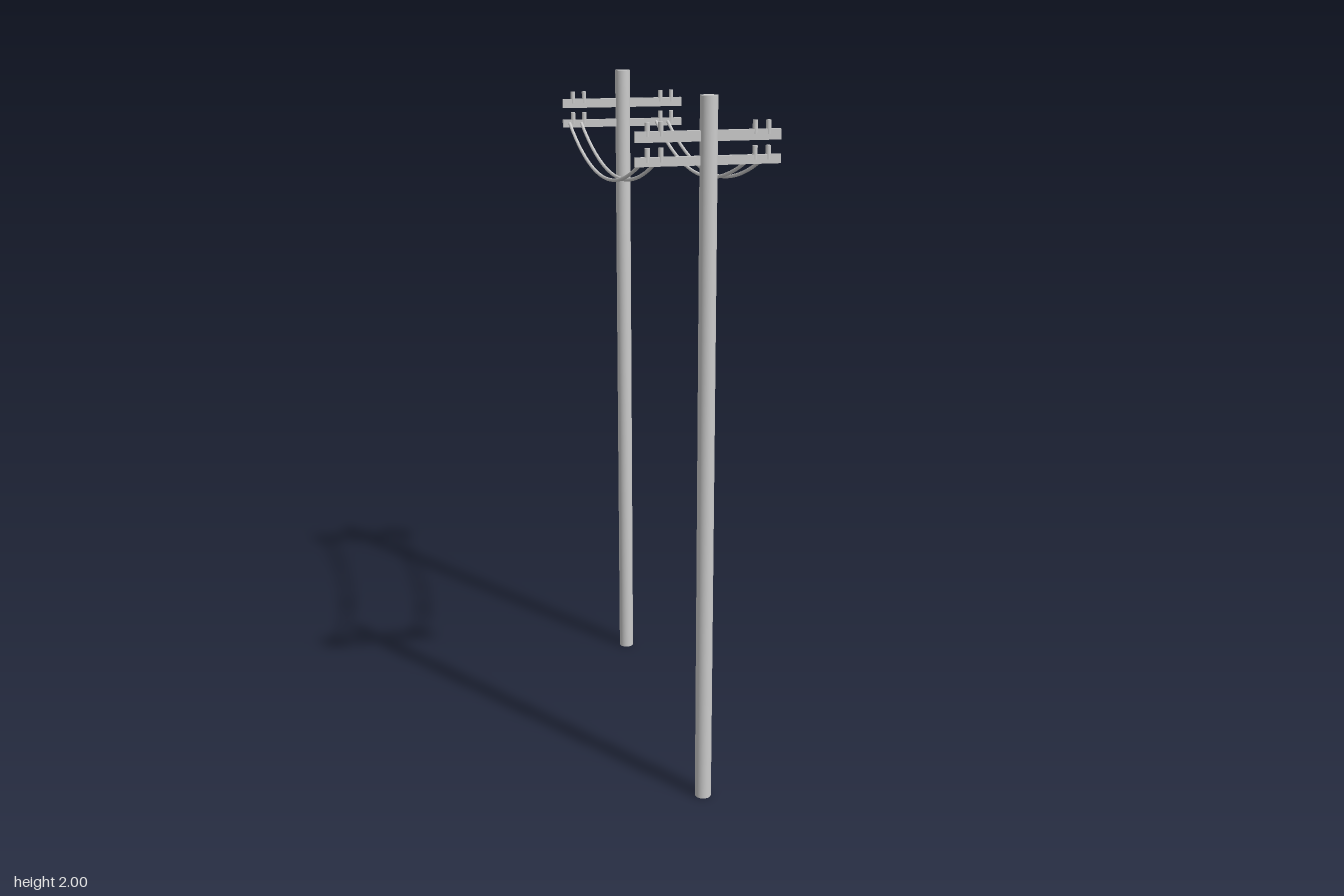
import * as THREE from 'three';

const POLE_Z = 0.526;
const grey = new THREE.MeshStandardMaterial({ color: 0xcccccc });

function add(parent, name, geometry, x, y, z) {
  const mesh = new THREE.Mesh(geometry, grey);
  mesh.name = name;
  mesh.position.set(x, y, z);
  parent.add(mesh);
  return mesh;
}

// One pole with two crossarms, each carrying four pin insulators
function createPole(name, z) {
  const pole = new THREE.Group();
  pole.name = name;
  pole.position.z = z;
  add(pole, 'post', new THREE.CylinderGeometry(0.0235, 0.0235, 2, 32), 0, 1, 0);

  const arms = [
    { name: 'upperCrossarm', bottom: 1.884, top: 1.912 },
    { name: 'lowerCrossarm', bottom: 1.823, top: 1.847 },
  ];
  for (const arm of arms) {
    const height = arm.top - arm.bottom;
    add(pole, arm.name, new THREE.BoxGeometry(0.388, height, 0.012), -0.001, arm.bottom + height / 2, 0);
    for (const x of [-0.162, -0.126, 0.124, 0.16]) {
      add(pole, 'insulator', new THREE.CylinderGeometry(0.007, 0.007, 0.036, 16), x, arm.top + 0.005, 0);
    }
  }
  return pole;
}

// Sagging wire: a parabola from pole to pole
class SagCurve extends THREE.Curve {
  getPoint(t, target = new THREE.Vector3()) {
    const s = 2 * t - 1;
    return target.set(0, 1.733 + 0.104 * s * s, s * POLE_Z);
  }
}

export function createModel() {
  const model = new THREE.Group();
  model.name = 'utilityPoles';
  model.add(createPole('frontPole', POLE_Z), createPole('backPole', -POLE_Z));

  // Four wires hung from the lower crossarms
  const wireGeometry = new THREE.TubeGeometry(new SagCurve(), 40, 0.005, 10);
  for (const x of [-0.174, -0.136, 0.11, 0.148]) {
    add(model, 'wire', wireGeometry, x, 0, 0);
  }
  return model;
}
